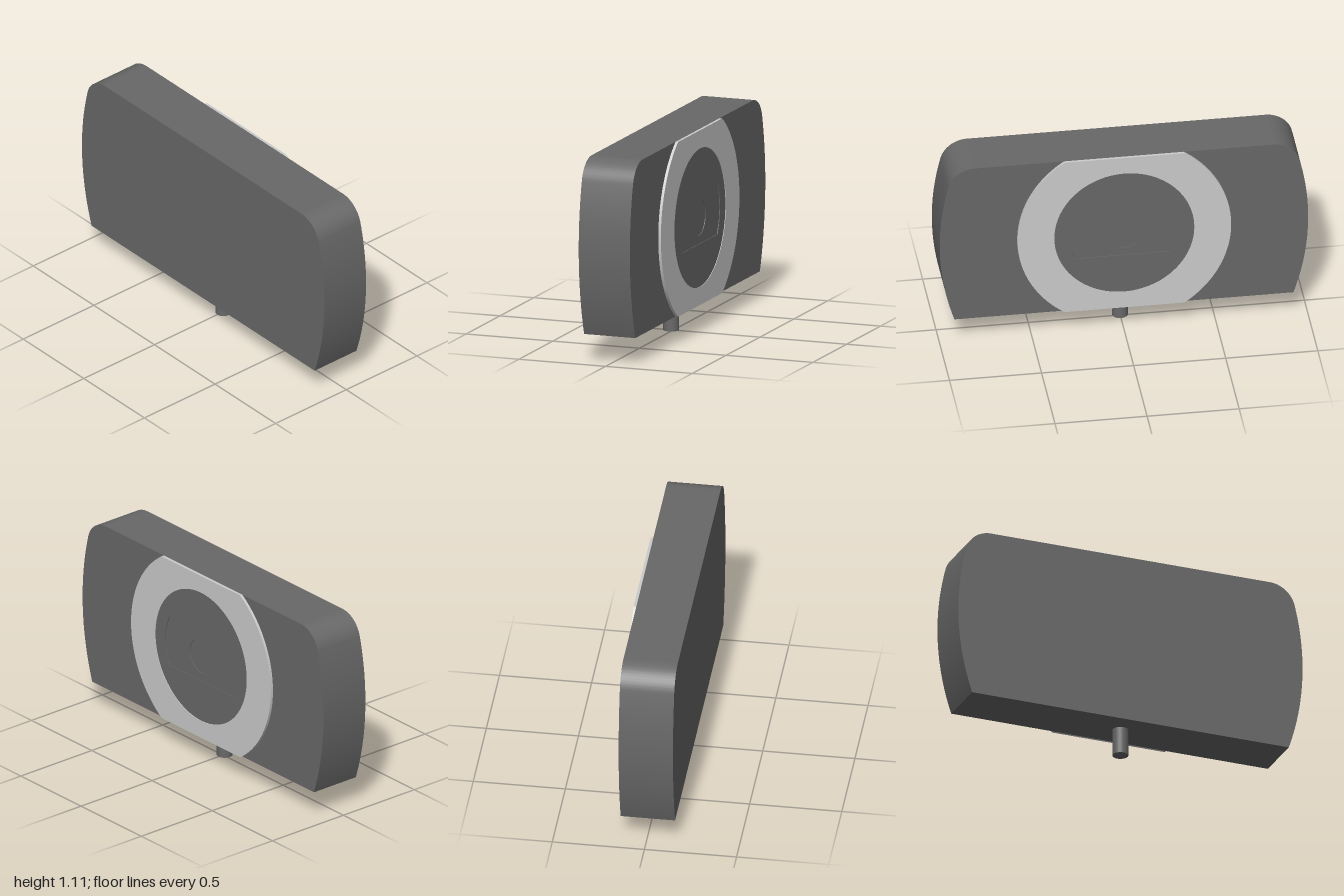
import * as THREE from 'three';
import { toCreasedNormals } from 'three/addons/utils/BufferGeometryUtils.js';

const MID = 0.63; // height of the dial centre
const dark = new THREE.MeshStandardMaterial({ color: 0x686868 });
const grey = new THREE.MeshStandardMaterial({ color: 0xcccccc });

// Circle cut flat at the top and bottom, centred on the dial
function clippedCircle(target, r, half) {
  const t = Math.asin(half / r);
  target.absarc(0, MID, r, -t, t, false);
  target.absarc(0, MID, r, Math.PI - t, Math.PI + t, false);
  target.closePath();
  return target;
}

function circle(target, r) {
  return target.absarc(0, MID, r, 0, Math.PI * 2, false);
}

// Extrude a side profile along x from x0 to x1
function plate(name, shape, x0, x1, material) {
  const geo = new THREE.ExtrudeGeometry(shape, { depth: x1 - x0, bevelEnabled: false, curveSegments: 48 });
  geo.translate(0, 0, x0);
  geo.rotateY(Math.PI / 2);
  const mesh = new THREE.Mesh(toCreasedNormals(geo, 0.4), material);
  mesh.name = name;
  return mesh;
}

// Body outline: bowed ends, rounded upper corners, sharp lower corners
function bodyShape() {
  const R = 1.48, cx = 0.48, r = 0.148, top = 1.11, cz = 0.81;
  const low = -Math.asin(0.48 / R);
  const join = Math.atan2(top - r - MID, cz + cx);
  const s = new THREE.Shape();
  s.absarc(-cx, MID, R, low, join, false);
  s.absarc(cz, top - r, r, join, Math.PI / 2, false);
  s.absarc(-cz, top - r, r, Math.PI / 2, Math.PI - join, false);
  s.absarc(cx, MID, R, Math.PI - join, Math.PI - low, false);
  s.closePath();
  return s;
}

export function createModel() {
  const group = new THREE.Group();
  group.name = 'panel';

  group.add(plate('body', bodyShape(), -0.155, 0.14, dark));

  // Raised ring, trimmed flush with the body's top and bottom
  const ring = clippedCircle(new THREE.Shape(), 0.58, 0.48);
  ring.holes.push(circle(new THREE.Path(), 0.38));
  group.add(plate('ring', ring, 0.14, 0.155, grey));

  // Dial face: stacked layers form shallow stepped recesses
  const dial = new THREE.Group();
  dial.name = 'dial';
  const floor = circle(new THREE.Shape(), 0.38);
  const step = circle(new THREE.Shape(), 0.38);
  step.holes.push(circle(new THREE.Path(), 0.1));
  const face = circle(new THREE.Shape(), 0.38);
  face.holes.push(clippedCircle(new THREE.Path(), 0.3, 0.145));
  dial.add(
    plate('dialFloor', floor, 0.14, 0.144, dark),
    plate('dialStep', step, 0.144, 0.148, dark),
    plate('dialFace', face, 0.148, 0.152, dark)
  );
  group.add(dial);

  // Mounting post under the body
  const post = new THREE.Mesh(new THREE.CylinderGeometry(0.043, 0.043, 0.15, 32), dark);
  post.name = 'post';
  post.position.set(-0.012, 0.075, 0);
  group.add(post);

  return group;
}
